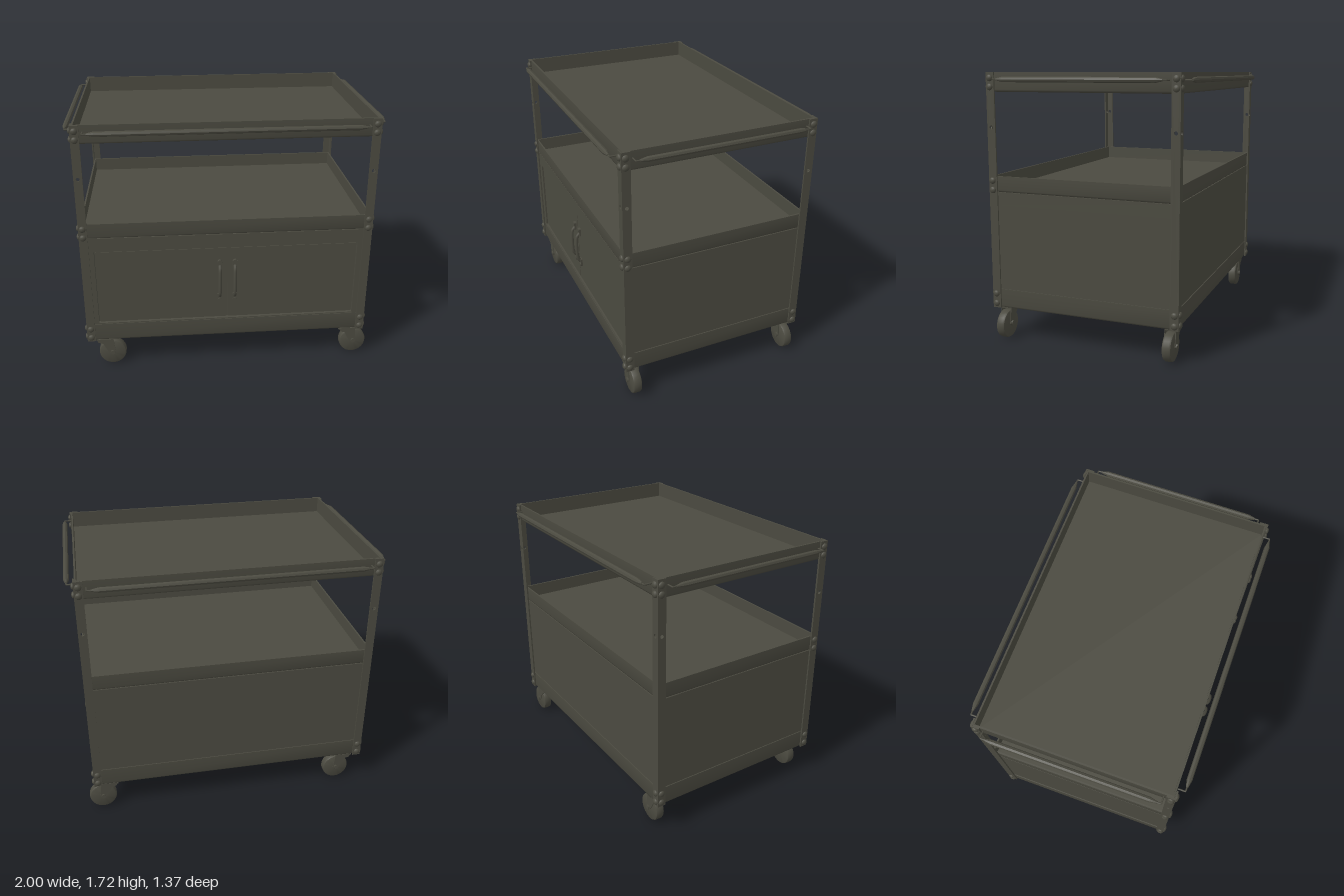
import * as THREE from 'three';
import { toCreasedNormals } from 'three/addons/utils/BufferGeometryUtils.js';

const metal = new THREE.MeshStandardMaterial({ color: 0x4b4a40 });
metal.name = 'olive metal';

function add(parent, name, geometry, x = 0, y = 0, z = 0) {
  const mesh = new THREE.Mesh(geometry, metal);
  mesh.name = name;
  mesh.position.set(x, y, z);
  parent.add(mesh);
  return mesh;
}

const box = (w, h, d) => new THREE.BoxGeometry(w, h, d);

// Box given by its lower and upper corners
function span(parent, name, a, b) {
  return add(parent, name, box(b[0] - a[0], b[1] - a[1], b[2] - a[2]),
    (a[0] + b[0]) / 2, (a[1] + b[1]) / 2, (a[2] + b[2]) / 2);
}

function extrude(shape, depth) {
  return new THREE.ExtrudeGeometry(shape, { depth, bevelEnabled: false, curveSegments: 10 });
}

function rectPath(Type, x0, y0, x1, y1) {
  return new Type([[x0, y0], [x1, y0], [x1, y1], [x0, y1]].map(p => new THREE.Vector2(...p)));
}

// Folded sheet tray: rectangular rings run from the underside over the rim to the floor
function trayGeometry(y0, y1, floorY) {
  const X = 0.935, Z = 0.62, t = 0.011, r = 0.014;
  const profile = [[r, y0], [r * 0.3, y0 + r * 0.3], [0, y0 + r], [0, y1], [t, y1], [t, floorY]];
  const rings = profile.map(([inset, y]) => [[1, 1], [1, -1], [-1, -1], [-1, 1]]
    .map(([sx, sz]) => [sx * (X - inset), y, sz * (Z - inset)]));
  const pos = [];
  const quad = (a, b, c, d) => pos.push(...a, ...b, ...c, ...a, ...c, ...d);
  for (let i = 0; i < rings.length - 1; i++) {
    for (let k = 0; k < 4; k++) {
      const n = (k + 1) % 4;
      quad(rings[i][k], rings[i][n], rings[i + 1][n], rings[i + 1][k]);
    }
  }
  quad(...rings[rings.length - 1]);
  quad(...[...rings[0]].reverse());
  const g = new THREE.BufferGeometry();
  g.setAttribute('position', new THREE.Float32BufferAttribute(pos, 3));
  return toCreasedNormals(g, 0.9);
}

// Corner post: two drilled plates forming an angle, with domed bolts
function makePost(sx, sz) {
  const post = new THREE.Group();
  post.name = 'cornerPost';
  const shape = rectPath(THREE.Shape, -0.0275, 0.21, 0.0275, 1.72);
  shape.holes.push(new THREE.Path().absarc(0, 1.38, 0.012, 0, Math.PI * 2, true));
  const plate = extrude(shape, 0.01).translate(0, 0, -0.005);
  add(post, 'postFrontPlate', plate, sx * 0.9175, 0, sz * 0.626);
  add(post, 'postSidePlate', plate, sx * 0.94, 0, sz * 0.603).rotation.y = Math.PI / 2;

  const dome = new THREE.LatheGeometry(
    [[0.021, 0], [0.021, 0.005], [0.016, 0.011], [0.008, 0.014], [0, 0.015]]
      .map(p => new THREE.Vector2(...p)), 12);
  const heights = [1.685, 1.63, 0.305, 0.24];
  if (sz > 0) heights.push(1.045, 0.985);
  for (const y of heights) {
    add(post, 'bolt', dome, sx * 0.9175, y, sz * 0.63).rotation.x = sz * Math.PI / 2;
    add(post, 'bolt', dome, sx * 0.944, y, sz * 0.605).rotation.z = -sx * Math.PI / 2;
  }
  return post;
}

// Rail bar with tapered ends and thin bent wire brackets, running along local x
function makeRail(half, reach) {
  const rail = new THREE.Group();
  rail.name = 'sideRail';
  const profile = [[0, -half], [0.007, -half], [0.017, -half + 0.045],
    [0.017, half - 0.045], [0.007, half], [0, half]].map(p => new THREE.Vector2(...p));
  const bar = toCreasedNormals(new THREE.LatheGeometry(profile, 8), 0.4);
  add(rail, 'railBar', bar).rotation.z = Math.PI / 2;
  for (const s of [-1, 1]) {
    const path = new THREE.CurvePath();
    const pts = [[half - 0.01, 0], [half + 0.025, 0], [half + 0.025, -reach]]
      .map(([x, z]) => new THREE.Vector3(s * x, 0, z));
    path.add(new THREE.LineCurve3(pts[0], pts[1]));
    path.add(new THREE.LineCurve3(pts[1], pts[2]));
    add(rail, 'railBracket', new THREE.TubeGeometry(path, 16, 0.005, 6));
  }
  return rail;
}

// Door pull: bowed grip on two round-ended feet
function makeHandle(x) {
  const handle = new THREE.Group();
  handle.name = 'doorHandle';
  handle.position.set(x, 0.628, 0.607);
  const curve = new THREE.CatmullRomCurve3([[-0.115, 0.008], [-0.09, 0.026], [-0.06, 0.031],
    [0.06, 0.031], [0.09, 0.026], [0.115, 0.008]].map(([y, z]) => new THREE.Vector3(0, y, z)));
  add(handle, 'handleGrip', new THREE.TubeGeometry(curve, 24, 0.011, 8));
  for (const s of [-1, 1]) {
    add(handle, 'handleFoot', box(0.03, 0.05, 0.014), 0, s * 0.122, 0.006);
    add(handle, 'handleScrew', new THREE.CylinderGeometry(0.015, 0.015, 0.02, 12),
      0, s * 0.142, 0.008).rotation.x = Math.PI / 2;
  }
  return handle;
}

// Swivel caster trailing toward +x
function makeCaster(x, z) {
  const caster = new THREE.Group();
  caster.name = 'caster';
  caster.position.set(x, 0, z);
  const profile = [[0, -0.03], [0.08, -0.03], [0.088, -0.026], [0.092, -0.016],
    [0.092, 0.016], [0.088, 0.026], [0.08, 0.03], [0, 0.03]].map(p => new THREE.Vector2(...p));
  const wheel = toCreasedNormals(new THREE.LatheGeometry(profile, 28), 0.7);
  add(caster, 'wheel', wheel, 0.047, 0.092, 0).rotation.x = Math.PI / 2;
  add(caster, 'axle', new THREE.CylinderGeometry(0.016, 0.016, 0.092, 8), 0.047, 0.097, 0)
    .rotation.x = Math.PI / 2;
  const side = new THREE.Shape([[-0.06, 0.2], [-0.045, 0.175], [-0.015, 0.165], [0.022, 0.095],
    [0.047, 0.075], [0.068, 0.095], [0.055, 0.2]].map(p => new THREE.Vector2(...p)));
  for (const s of [-1, 1]) add(caster, 'forkArm', extrude(side, 0.005), 0, 0, s * 0.0345 - 0.0025);
  add(caster, 'forkCrown', box(0.115, 0.008, 0.074), -0.0025, 0.196, 0);
  add(caster, 'swivel', new THREE.CylinderGeometry(0.03, 0.03, 0.02, 16), 0, 0.205, 0);
  return caster;
}

export function createModel() {
  const cart = new THREE.Group();
  cart.name = 'utilityCart';

  // Trays
  add(cart, 'topTray', trayGeometry(1.6, 1.72, 1.615));
  add(cart, 'middleTray', trayGeometry(0.97, 1.073, 0.982));
  add(cart, 'bottomTray', trayGeometry(0.21, 0.335, 0.225));

  // Cabinet body with upper bands on the sides and back
  span(cart, 'cabinetBody', [-0.929, 0.24, -0.614], [0.929, 0.972, 0.59]);
  for (const s of [-1, 1]) {
    add(cart, 'sideBand', box(0.006, 0.086, 1.236), s * 0.932, 0.928, 0);
  }
  span(cart, 'backBand', [-0.935, 0.885, -0.62], [0.935, 0.971, -0.614]);

  // Front frame with an opening for the doors
  const frame = rectPath(THREE.Shape, -0.929, 0.335, 0.929, 0.97);
  frame.holes.push(rectPath(THREE.Path, -0.86, 0.342, 0.86, 0.874));
  add(cart, 'doorFrame', extrude(frame, 0.026), 0, 0, 0.59);

  // Doors and handles
  for (const s of [-1, 1]) {
    add(cart, 'door', box(0.846, 0.518, 0.018), s * 0.428, 0.608, 0.598);
    cart.add(makeHandle(s * 0.05));
  }

  // Posts and casters
  for (const sx of [-1, 1]) {
    for (const sz of [-1, 1]) {
      cart.add(makePost(sx, sz));
      cart.add(makeCaster(sx < 0 ? -0.832 : 0.843, sz * 0.565));
    }
  }

  // Rails on all four sides of the top
  for (let i = 0; i < 4; i++) {
    const long = i % 2 === 0;
    const rail = long ? makeRail(0.845, 0.045) : makeRail(0.535, 0.045);
    const angle = i * Math.PI / 2, d = long ? 0.668 : 0.983;
    rail.position.set(Math.sin(angle) * d, 1.677, Math.cos(angle) * d);
    rail.rotation.y = angle;
    cart.add(rail);
  }
  return cart;
}
